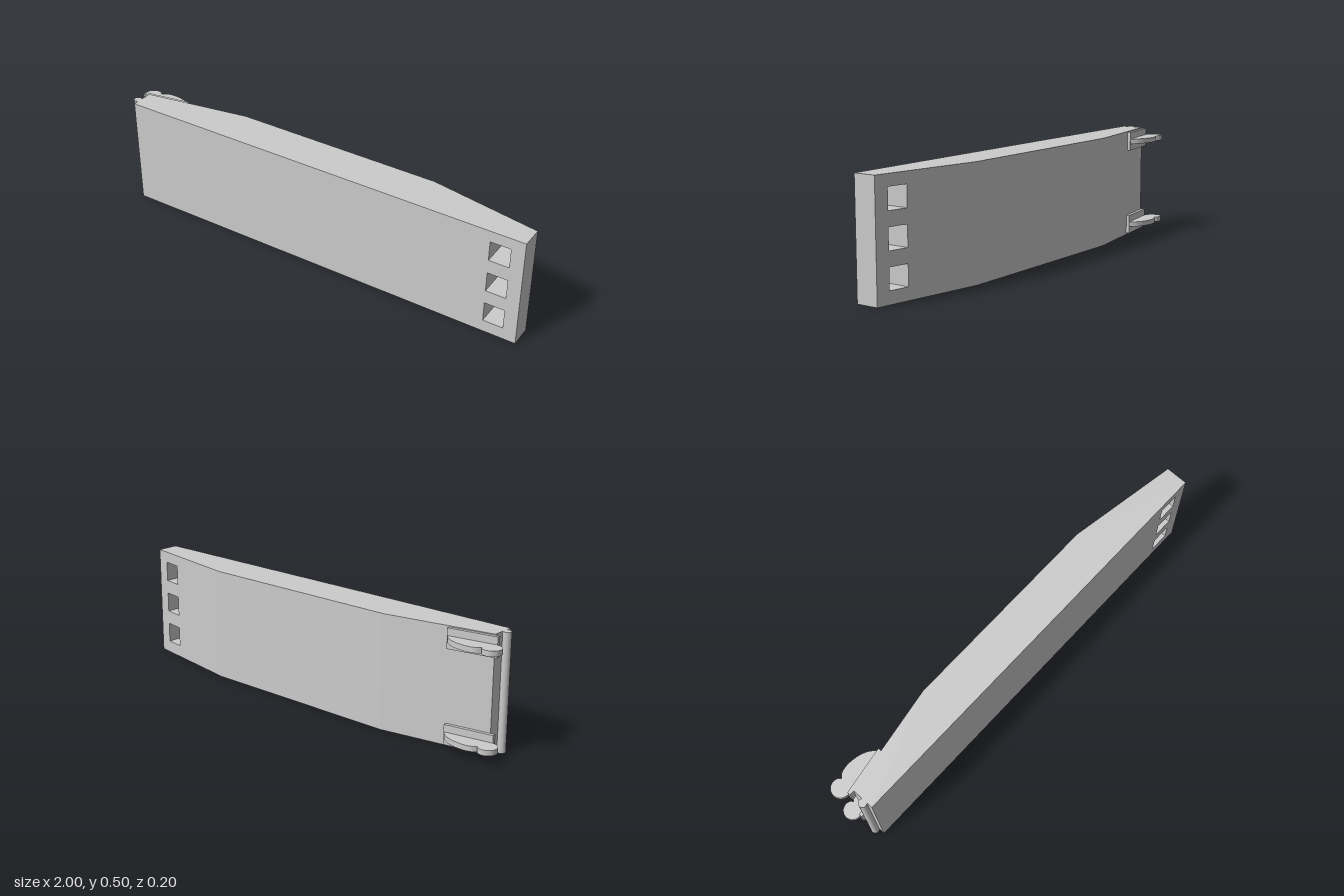
import * as THREE from 'three';

const HEIGHT = 0.5;
const material = new THREE.MeshStandardMaterial({ color: 0xcccccc });

// Extrudes a plan outline of [x, z] points upward from y0 to y1
function planExtrude(points, y0, y1) {
  const shape = new THREE.Shape(points.map(([x, z]) => new THREE.Vector2(x, -z)));
  const geometry = new THREE.ExtrudeGeometry(shape, { depth: y1 - y0, bevelEnabled: false });
  return geometry.rotateX(-Math.PI / 2).translate(0, y0, 0);
}

function addMesh(parent, name, geometry) {
  const mesh = new THREE.Mesh(geometry, material);
  mesh.name = name;
  parent.add(mesh);
}

// Tapered end: a plate with three square holes whose back is sheared into a slope
function taperedEnd() {
  const rect = (Type, x0, x1, y0, y1) => new Type([
    new THREE.Vector2(x0, y0), new THREE.Vector2(x1, y0),
    new THREE.Vector2(x1, y1), new THREE.Vector2(x0, y1),
  ]);
  const shape = rect(THREE.Shape, 0.5, 1, 0, HEIGHT);
  for (const y of [0.1, 0.2525, 0.405]) {
    shape.holes.push(rect(THREE.Path, 0.85, 0.94, y - 0.045, y + 0.045));
  }
  const geometry = new THREE.ExtrudeGeometry(shape, { depth: 0.1, bevelEnabled: false });
  const p = geometry.attributes.position;
  for (let i = 0; i < p.count; i++) {
    if (p.getZ(i) < 0.05) p.setZ(i, -0.085 * (1 - p.getX(i)) / 0.5);
  }
  geometry.computeVertexNormals();
  return geometry;
}

// Hook outline: long curved back, a small notch, then a round nose
function hookOutline() {
  const back = new THREE.SplineCurve([
    [-0.745, -0.05], [-0.775, -0.079], [-0.82, -0.098], [-0.87, -0.104],
    [-0.908, -0.098], [-0.93, -0.08],
  ].map(([x, z]) => new THREE.Vector2(x, z)));
  const points = back.getPoints(24).map((v) => [v.x, v.y]);
  for (let i = 0; i <= 20; i++) {
    const a = -0.95 - (i / 20) * 4.2;
    points.push([-0.959 + 0.041 * Math.cos(a), -0.056 + 0.041 * Math.sin(a)]);
  }
  points.push([-0.93, -0.018]);
  return points;
}

export function createModel() {
  const model = new THREE.Group();
  model.name = 'panel';

  // Main slab with its sloped latch end
  addMesh(model, 'body', planExtrude([
    [-0.935, 0.1], [0.5, 0.1], [0.5, -0.085], [-0.45, -0.085], [-0.935, -0.003],
  ], 0, HEIGHT));
  addMesh(model, 'taperedEnd', taperedEnd());

  // Full-height rounded rib on the latch end
  addMesh(model, 'endRib', new THREE.CylinderGeometry(0.018, 0.018, HEIGHT, 24)
    .translate(-0.947, HEIGHT / 2, 0.06));

  // Two hooks, each on a raised mounting pad
  for (const y of [0.051, 0.453]) {
    const latch = new THREE.Group();
    latch.name = 'latch';
    addMesh(latch, 'mountingPad', planExtrude([
      [-0.745, -0.03], [-0.745, -0.051], [-0.956, -0.015], [-0.956, 0], [-0.93, 0],
    ], y - 0.043, y + 0.043));
    addMesh(latch, 'hook', planExtrude(hookOutline(), y - 0.0115, y + 0.0115));
    model.add(latch);
  }
  return model;
}
